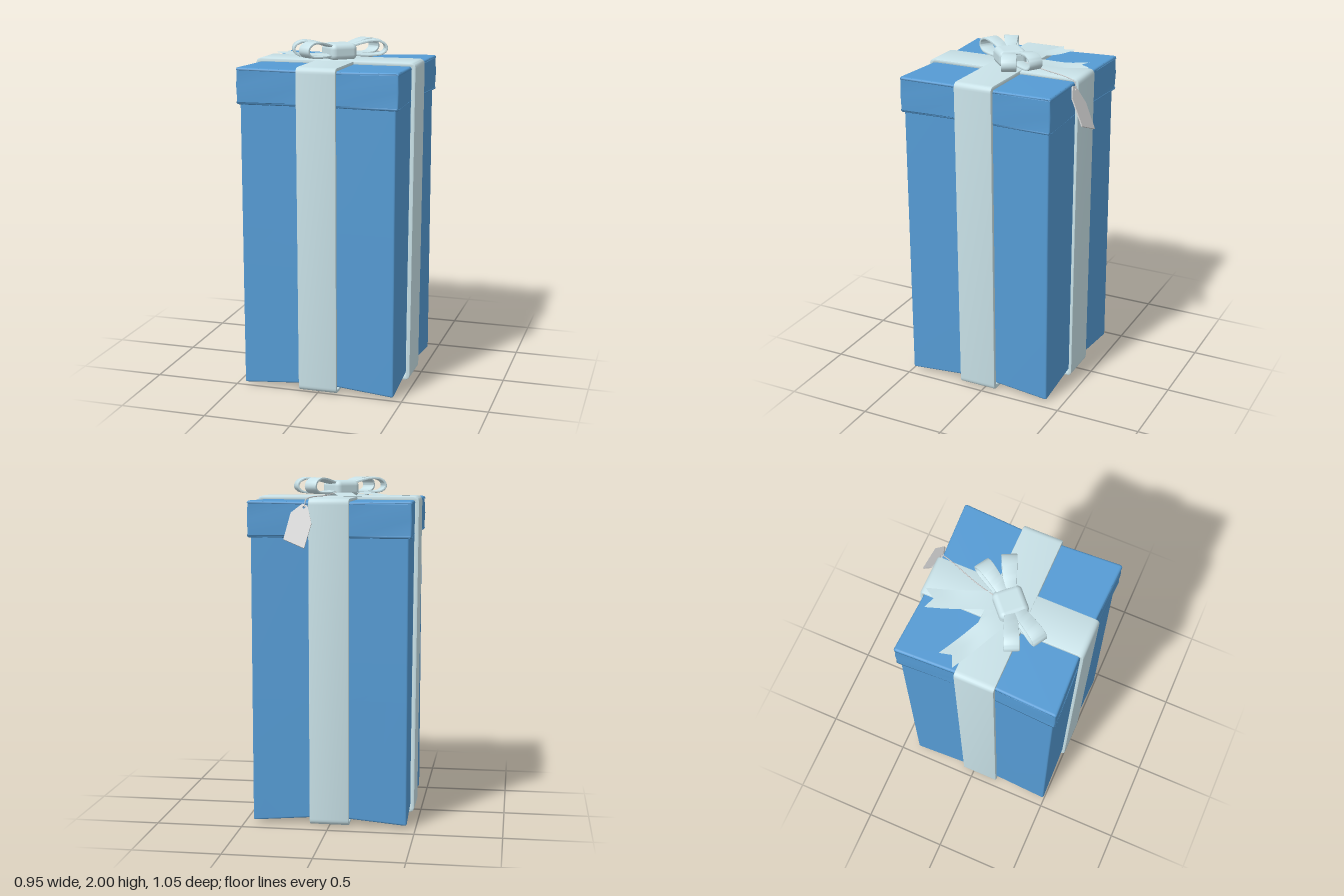
import * as THREE from 'three';
import { mergeVertices, toCreasedNormals } from 'three/addons/utils/BufferGeometryUtils.js';
import { RoundedBoxGeometry } from 'three/addons/geometries/RoundedBoxGeometry.js';

const CZ = 0.045; // the box sits slightly forward, the tag hangs out behind
const blue = new THREE.MeshStandardMaterial({ color: 0x559bd4 });
const pale = new THREE.MeshStandardMaterial({ color: 0xc9e2e8 });
const paleThin = new THREE.MeshStandardMaterial({ color: 0xc9e2e8, side: THREE.DoubleSide });
const grey = new THREE.MeshStandardMaterial({ color: 0xcccccc });

function add(parent, name, geometry, material) {
  const mesh = new THREE.Mesh(geometry, material);
  mesh.name = name;
  parent.add(mesh);
  return mesh;
}

// Box with rounded edges whose sides are squeezed in where the ribbons press.
function pinchedBox(half, r, pinch, yPinchTop, yPinchBottom) {
  let geo = new THREE.BoxGeometry(8, 8, 8, 8, 8, 8);
  geo.deleteAttribute('uv');
  geo.deleteAttribute('normal');
  geo = mergeVertices(geo);
  const pos = geo.attributes.position;
  const p = new THREE.Vector3(), core = new THREE.Vector3();
  const place = (v, h) => Math.sign(v) * [0, 0.11, h - r, h - 0.42 * r, h][Math.round(Math.abs(v))];
  const limit = half.clone().subScalar(r);
  const squeeze = (v, h) => 1 - Math.max(0, Math.abs(v) - 0.11) / (h - 0.11);
  for (let i = 0; i < pos.count; i++) {
    p.fromBufferAttribute(pos, i);
    p.set(place(p.x, half.x), place(p.y, half.y), place(p.z, half.z));
    core.copy(p).clamp(limit.clone().negate(), limit);
    p.sub(core).normalize().multiplyScalar(r).add(core);
    const sx = squeeze(p.x, half.x), sz = squeeze(p.z, half.z);
    const dy = Math.max(sx, sz) * (p.y > 0 ? -yPinchTop : yPinchBottom);
    p.x *= 1 - pinch * sz;
    p.z *= 1 - pinch * sx;
    if (Math.abs(p.y) > limit.y - 0.001) p.y += dy;
    pos.setXYZ(i, p.x, p.y, p.z);
  }
  geo.computeVertexNormals();
  return geo;
}

// Extrusion centred on z with softly bevelled edges.
function softExtrude(shape, depth, bevel) {
  const geo = new THREE.ExtrudeGeometry(shape, {
    depth: depth - 2 * bevel, bevelEnabled: true, bevelThickness: bevel,
    bevelSize: bevel, bevelOffset: -bevel, bevelSegments: 2, curveSegments: 6,
  });
  return geo.translate(0, 0, bevel - depth / 2);
}

// Rounded outline, a little wider at the top than at the bottom.
function roundedOutline(Path, bottomHalf, topHalf, y0, y1, r) {
  const s = new Path();
  s.moveTo(-bottomHalf + r, y0);
  s.lineTo(bottomHalf - r, y0);
  s.quadraticCurveTo(bottomHalf, y0, bottomHalf, y0 + r);
  s.lineTo(topHalf, y1 - r);
  s.quadraticCurveTo(topHalf, y1, topHalf - r, y1);
  s.lineTo(-topHalf + r, y1);
  s.quadraticCurveTo(-topHalf, y1, -topHalf, y1 - r);
  s.lineTo(-bottomHalf, y0 + r);
  s.quadraticCurveTo(-bottomHalf, y0, -bottomHalf + r, y0);
  return s;
}

function ribbonBand(grow) {
  const t = 0.02 + grow;
  const shape = roundedOutline(THREE.Shape, 0.462 + grow, 0.474 + grow, 0.004 - grow, 1.889 + grow, 0.035);
  shape.holes.push(roundedOutline(THREE.Path, 0.462 - t, 0.474 - t, 0.004 + t, 1.889 - t, 0.02));
  return toCreasedNormals(softExtrude(shape, 0.23, 0.006), 0.6);
}

// Teardrop loop of ribbon, widening away from the knot.
function bowLoop() {
  const profile = [[0.03, 0.022], [0.1, 0.006], [0.18, 0.004], [0.245, 0.012], [0.275, 0.042],
    [0.262, 0.08], [0.215, 0.1], [0.15, 0.094], [0.09, 0.078], [0.03, 0.06]];
  const curve = new THREE.SplineCurve(profile.map(([x, y]) => new THREE.Vector2(x, y)));
  const outer = [], inner = [];
  for (let i = 0; i <= 36; i++) {
    const p = curve.getPoint(i / 36), d = curve.getTangent(i / 36);
    outer.push(p);
    inner.unshift(new THREE.Vector2(p.x - d.y * 0.013, p.y + d.x * 0.013));
  }
  const geo = softExtrude(new THREE.Shape([...outer, ...inner]), 0.086, 0.004);
  const pos = geo.attributes.position;
  for (let i = 0; i < pos.count; i++) {
    pos.setZ(i, pos.getZ(i) * THREE.MathUtils.clamp(0.7 + 1.3 * pos.getX(i), 0.7, 1));
  }
  return toCreasedNormals(geo, 0.7);
}

// Ribbon end lying on the lid: three lengthwise lines from the knot to a notched tip.
function bowTail(base, tip) {
  const rows = 12;
  const geo = new THREE.PlaneGeometry(1, 1, 2, rows);
  const pos = geo.attributes.position;
  for (let i = 0; i < pos.count; i++) {
    const k = i % 3, v = Math.floor(i / 3) / rows;
    const x = THREE.MathUtils.lerp(base[k][0], tip[k][0], v);
    const z = THREE.MathUtils.lerp(base[k][1], tip[k][1], v);
    pos.setXYZ(i, x, 1.908 - 0.012 * v + 0.006 * Math.sin(v * 7), z);
  }
  geo.computeVertexNormals();
  return geo;
}

export function createModel() {
  const model = new THREE.Group();
  model.name = 'giftBox';

  // Box and lid
  const body = add(model, 'boxBody', pinchedBox(new THREE.Vector3(0.45, 0.835, 0.45), 0.012, 0.02, 0, 0.026), blue);
  body.position.set(0, 0.85, CZ);
  const lid = add(model, 'lid', pinchedBox(new THREE.Vector3(0.47, 0.105, 0.467), 0.016, 0.034, 0.006, 0), blue);
  lid.position.set(0, 1.772, CZ);

  // Two ribbons wrapped around the box
  const ribbonAcross = add(model, 'ribbonAcross', ribbonBand(0.003), pale);
  ribbonAcross.position.z = CZ;
  const ribbonFrontBack = add(model, 'ribbonFrontBack', ribbonBand(0), pale);
  ribbonFrontBack.position.z = CZ;
  ribbonFrontBack.rotation.y = Math.PI / 2;

  // Bow
  const bow = new THREE.Group();
  bow.name = 'bow';
  model.add(bow);
  const knot = add(bow, 'bowKnot', new RoundedBoxGeometry(0.165, 0.096, 0.165, 4, 0.032), pale);
  knot.position.set(-0.003, 1.933, 0.052);
  knot.rotation.y = 0.74;
  const loopGeometry = bowLoop();
  for (const angle of [0.43, 1.02, 0.43 + Math.PI, 1.02 + Math.PI]) {
    const loop = add(bow, 'bowLoop', loopGeometry, pale);
    loop.position.set(0, 1.9, 0.05);
    loop.rotation.y = angle;
  }
  add(bow, 'bowTailBack', bowTail([[-0.055, 0], [-0.005, -0.01], [0.05, -0.02]],
    [[-0.19, -0.365], [-0.125, -0.342], [-0.086, -0.405]]), paleThin);
  add(bow, 'bowTailSide', bowTail([[-0.09, 0.09], [-0.06, 0.045], [-0.03, 0]],
    [[-0.445, -0.09], [-0.378, -0.12], [-0.396, -0.188]]), paleThin);

  // String running over the lid edge to the tag
  const string = new THREE.CatmullRomCurve3([
    new THREE.Vector3(0.01, 1.915, -0.04), new THREE.Vector3(0.045, 1.9, -0.16),
    new THREE.Vector3(0.117, 1.893, -0.36), new THREE.Vector3(0.132, 1.88, -0.41),
    new THREE.Vector3(0.136, 1.84, -0.424)]);
  add(model, 'tagString', new THREE.TubeGeometry(string, 24, 0.003, 6), grey);

  // Hanging tag with a punched hole
  const outline = [[0.15, 0], [0.12, -0.012], [0.09, -0.12], [0.12, -0.27], [0.24, -0.217], [0.212, -0.055]];
  const tagShape = new THREE.Shape(outline.map(([x, y]) => new THREE.Vector2(x, y)));
  tagShape.holes.push(new THREE.Path().absarc(0.139, -0.022, 0.008, 0, Math.PI * 2, true));
  const tag = add(model, 'tag', new THREE.ExtrudeGeometry(tagShape, { depth: 0.008, bevelEnabled: false }), grey);
  tag.position.set(0, 1.86, -0.41);
  tag.rotation.x = 0.48;

  return model;
}
